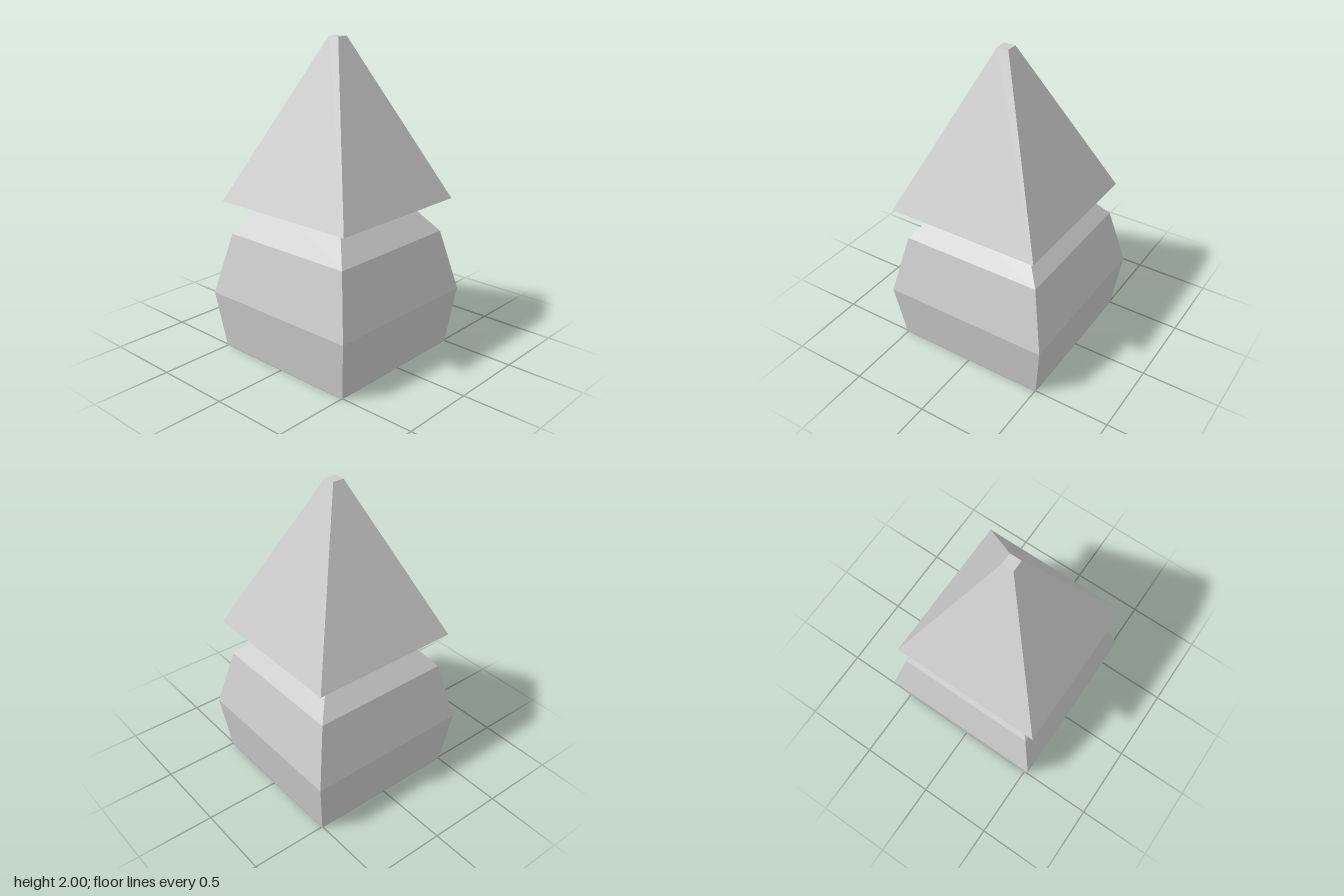
import * as THREE from 'three';

const material = new THREE.MeshStandardMaterial({ color: 0xcccccc, flatShading: true });

// Square solid from [half width, height] rings, listed bottom to top and capped at both ends
function squareSolid(name, rings) {
  const points = rings.map(([half, y]) => new THREE.Vector2(half * Math.SQRT2, y));
  points.unshift(new THREE.Vector2(0, rings[0][1]));
  points.push(new THREE.Vector2(0, rings[rings.length - 1][1]));
  const geometry = new THREE.LatheGeometry(points, 4, Math.PI / 4).toNonIndexed();
  geometry.computeVertexNormals();
  const mesh = new THREE.Mesh(geometry, material);
  mesh.name = name;
  return mesh;
}

export function createModel() {
  const model = new THREE.Group();
  model.name = 'squareTower';

  // Bulging body that tapers in under the roof
  const body = squareSolid('body', [[0.505, 0], [0.554, 0.375], [0.465, 0.77], [0.285, 0.997]]);

  // Tall overhanging roof with a small flat tip, set slightly off centre
  const roof = squareSolid('roof', [[0.503, 0.995], [0.037, 2]]);
  roof.position.set(-0.017, 0, 0.024);

  model.add(body, roof);
  return model;
}
